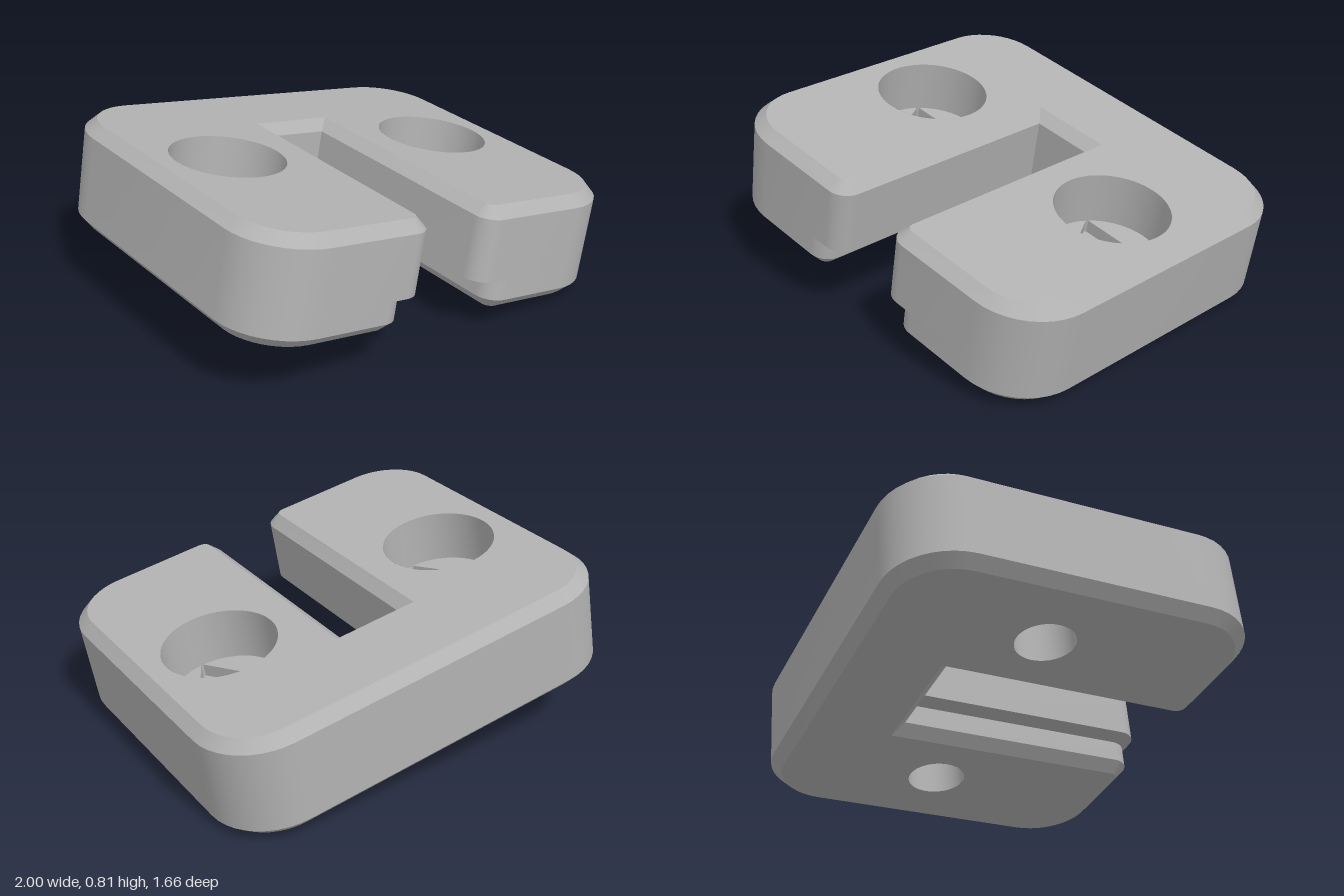
import * as THREE from 'three';
import { toCreasedNormals } from 'three/addons/utils/BufferGeometryUtils.js';

const W = 0.98, D = 0.83, R = 0.3;        // half width, half depth, corner radius
const TOP = 0.245, C = 0.05;              // half thickness, chamfer
const SLOT = 0.15, WIDE = 0.245, LEDGE = -0.095, BACK = 0.35, MOUTH = 0.09;
const HX = 0.587, HZ = -0.055, BORE = 0.2575, HOLE = 0.1325, POCKET = -0.06;

// Plan points run counter-clockwise in (x, -z)
function arc(cx, cy, r, from, n = 10) {
  return Array.from({ length: n + 1 }, (_, i) => {
    const a = THREE.MathUtils.degToRad(from + (90 * i) / n);
    return new THREE.Vector2(cx + r * Math.cos(a), cy + r * Math.sin(a));
  });
}

// Rounded plate outline with a slot open to the front, inset by c
function outline(slot, c) {
  const x = W - R, y = D - R, r = R - c, m = MOUTH - c;
  const mx = slot + MOUTH, my = -D + MOUTH;
  return [
    ...arc(x, -y, r, 270), ...arc(x, y, r, 0), ...arc(-x, y, r, 90), ...arc(-x, -y, r, 180),
    ...arc(-mx, my, m, 270),
    new THREE.Vector2(-slot - c, BACK + c), new THREE.Vector2(slot + c, BACK + c),
    ...arc(mx, my, m, 180),
  ];
}

// Walls joining rings of equal point count: [points, height]
function loft(rings) {
  const pos = [];
  const tri = (...v) => {
    const [a, b, c] = v;
    if (new THREE.Triangle(a, b, c).getArea() > 1e-9) v.forEach(p => pos.push(p.x, p.y, p.z));
  };
  for (let k = 0; k + 1 < rings.length; k++) {
    const [lo, hi] = [rings[k], rings[k + 1]].map(([pts, y]) => pts.map(p => new THREE.Vector3(p.x, y, -p.y)));
    lo.forEach((a, i) => {
      const j = (i + 1) % lo.length;
      tri(a, lo[j], hi[j]);
      tri(a, hi[j], hi[i]);
    });
  }
  const g = new THREE.BufferGeometry();
  g.setAttribute('position', new THREE.Float32BufferAttribute(pos, 3));
  return toCreasedNormals(g, 0.5);
}

// Flat horizontal face from a shape
function face(shape, y, down = false) {
  const g = new THREE.ShapeGeometry(shape, 48).rotateX(-Math.PI / 2).translate(0, y, 0);
  if (down) {
    g.index.array.reverse();
    g.computeVertexNormals();
  }
  return g;
}

function withHoles(points, r, centres) {
  const s = new THREE.Shape(points);
  for (const [x, y] of centres) s.holes.push(new THREE.Path().absarc(x, y, r, 0, Math.PI * 2, true));
  return s;
}

// Inward-facing cylinder wall
function bore(r, high, low) {
  return new THREE.LatheGeometry([new THREE.Vector2(r, high), new THREE.Vector2(r, low)], 48);
}

export function createModel() {
  const grey = new THREE.MeshStandardMaterial({ color: 0xb2b2b2, side: THREE.DoubleSide });
  grey.name = 'grey';
  const model = new THREE.Group();
  model.name = 'slottedPlate';
  const plate = new THREE.Group();
  plate.name = 'tiltedPlate';
  model.add(plate);
  const add = (parent, name, geometry) => {
    const m = new THREE.Mesh(geometry, grey);
    m.name = name;
    parent.add(m);
  };

  // Chamfered sides, slot walls and the ledge inside the slot
  add(plate, 'sides', loft([
    [outline(WIDE, C), -TOP],
    [outline(WIDE, 0), -TOP + C],
    [outline(WIDE, 0), LEDGE],
    [outline(SLOT, 0), LEDGE],
    [outline(SLOT, 0), TOP - C],
    [outline(SLOT, C), TOP],
  ]));
  const centres = [[-HX, -HZ], [HX, -HZ]];
  add(plate, 'topFace', face(withHoles(outline(SLOT, C), BORE, centres), TOP));
  add(plate, 'bottomFace', face(withHoles(outline(WIDE, C), HOLE, centres), -TOP, true));

  // Counterbored screw holes with a shallow three-sided pocket
  const half = Math.acos((HOLE + 0.001) / BORE);
  const normals = [90, 210, 330].map(THREE.MathUtils.degToRad);
  const corners = normals.flatMap(a => [a - half, a + half])
    .map(a => new THREE.Vector2(BORE * Math.cos(a), BORE * Math.sin(a)));
  for (const [x, name] of [[HX, 'leftScrewHole'], [-HX, 'rightScrewHole']]) {
    const hole = new THREE.Group();
    hole.name = name;
    hole.position.set(x, 0, HZ);
    add(hole, 'counterbore', bore(BORE, TOP, 0));
    for (const a of normals) {
      add(hole, 'counterboreFloor', face(new THREE.Shape().absarc(0, 0, BORE, a - half, a + half, false), 0));
    }
    add(hole, 'pocketWalls', loft([[corners, 0], [corners, POCKET]]));
    add(hole, 'pocketFloor', face(withHoles(corners, HOLE, [[0, 0]]), POCKET));
    add(hole, 'throughHole', bore(HOLE, POCKET, -TOP));
    plate.add(hole);
  }

  // Lean the plate down towards its left
  plate.rotation.z = -THREE.MathUtils.degToRad(10);
  plate.position.y = 0.403;
  return model;
}
